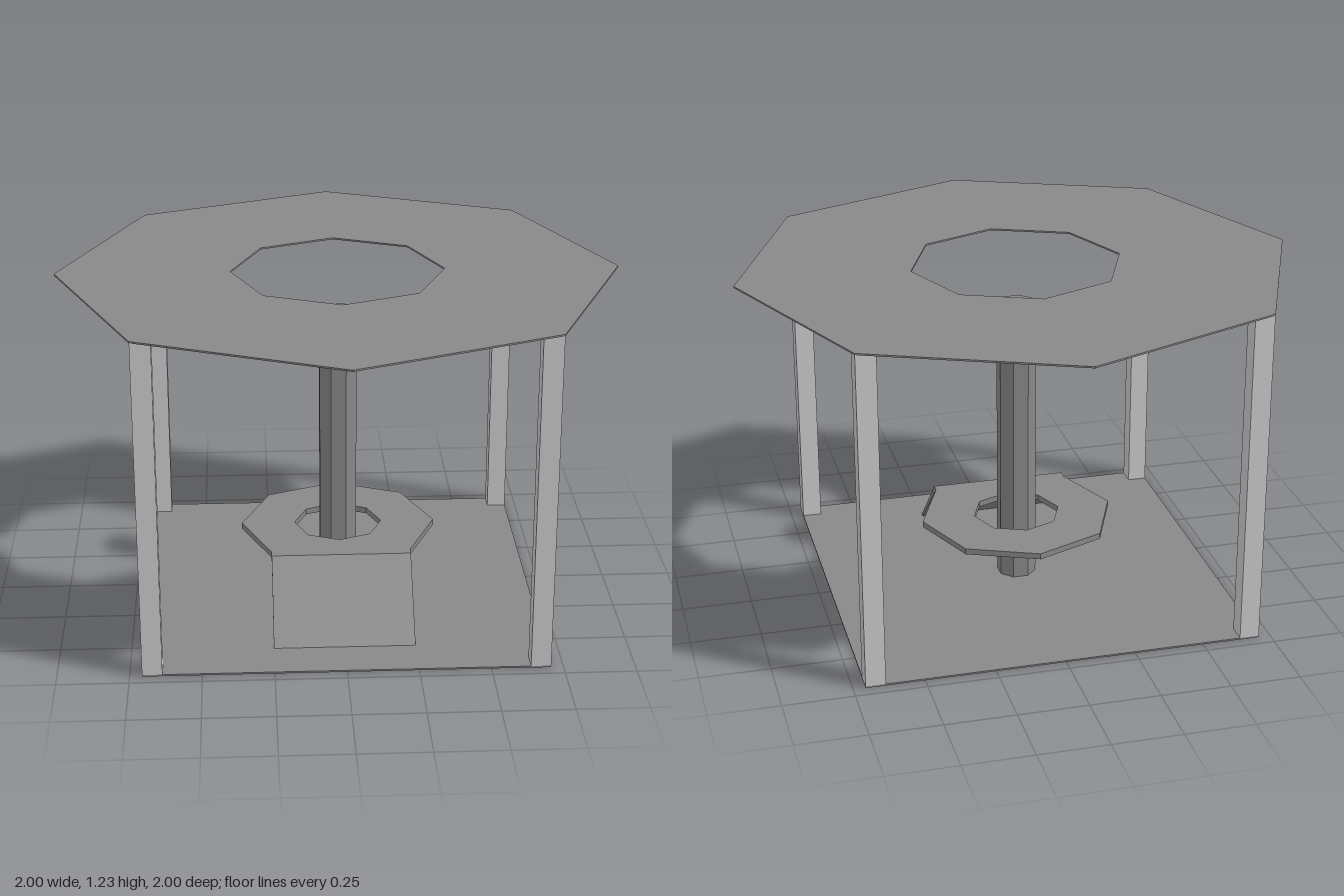
import * as THREE from 'three';

const dark = new THREE.MeshStandardMaterial({ color: 0x888888, flatShading: true });
const light = new THREE.MeshStandardMaterial({ color: 0xcccccc, flatShading: true });

function add(group, name, geometry, material, x = 0, y = 0, z = 0) {
  const mesh = new THREE.Mesh(geometry, material);
  mesh.name = name;
  mesh.position.set(x, y, z);
  group.add(mesh);
  return mesh;
}

// Regular octagon with a corner on each axis
function octagon(r) {
  return Array.from({ length: 8 }, (_, i) =>
    new THREE.Vector2(r * Math.cos(i * Math.PI / 4), r * Math.sin(i * Math.PI / 4)));
}

// Horizontal plate: outline y becomes -z, thickness rises from y = 0
function plate(points, holeRadius, thickness) {
  const shape = new THREE.Shape(points);
  shape.holes.push(new THREE.Path(octagon(holeRadius).reverse()));
  const g = new THREE.ExtrudeGeometry(shape, { depth: thickness, bevelEnabled: false });
  return g.rotateX(-Math.PI / 2);
}

export function createModel() {
  const group = new THREE.Group();
  const half = 0.707, postWidth = 0.07, roofY = 1.219;

  // Square floor and octagonal roof with its opening
  add(group, 'floor', new THREE.BoxGeometry(2 * half, 0.006, 2 * half), dark, 0, 0.003, 0);
  add(group, 'roof', plate(octagon(1), 0.38, 0.006), dark, 0, roofY, 0);

  // Corner posts
  const c = half - postWidth / 2;
  for (const sx of [-1, 1]) for (const sz of [-1, 1]) {
    add(group, 'post', new THREE.BoxGeometry(postWidth, roofY - 0.006, postWidth), light,
      sx * c, (roofY + 0.006) / 2, sz * c);
  }

  // Central column
  const column = new THREE.CylinderGeometry(0.072, 0.072, 1.07, 8).rotateY(Math.PI / 8);
  add(group, 'column', column, dark, 0, 0.54, 0);

  // Raised ring platform, squared off at the front where the ramp meets it
  const outline = octagon(0.355);
  outline.splice(6, 1, new THREE.Vector2(-0.251, -0.285), new THREE.Vector2(0.251, -0.285));
  add(group, 'platform', plate(outline, 0.16, 0.022), dark, 0, 0.223, 0);

  // Sloping ramp, profile in z and y swept across x
  const profile = new THREE.Shape([
    [0.285, 0.245], [0.272, 0.231], [0.52, 0.003], [0.54, 0.003],
  ].map(([z, y]) => new THREE.Vector2(-z, y)));
  const ramp = new THREE.ExtrudeGeometry(profile, { depth: 0.5, bevelEnabled: false });
  ramp.translate(0, 0, -0.25).rotateY(Math.PI / 2);
  add(group, 'ramp', ramp, dark);

  return group;
}
